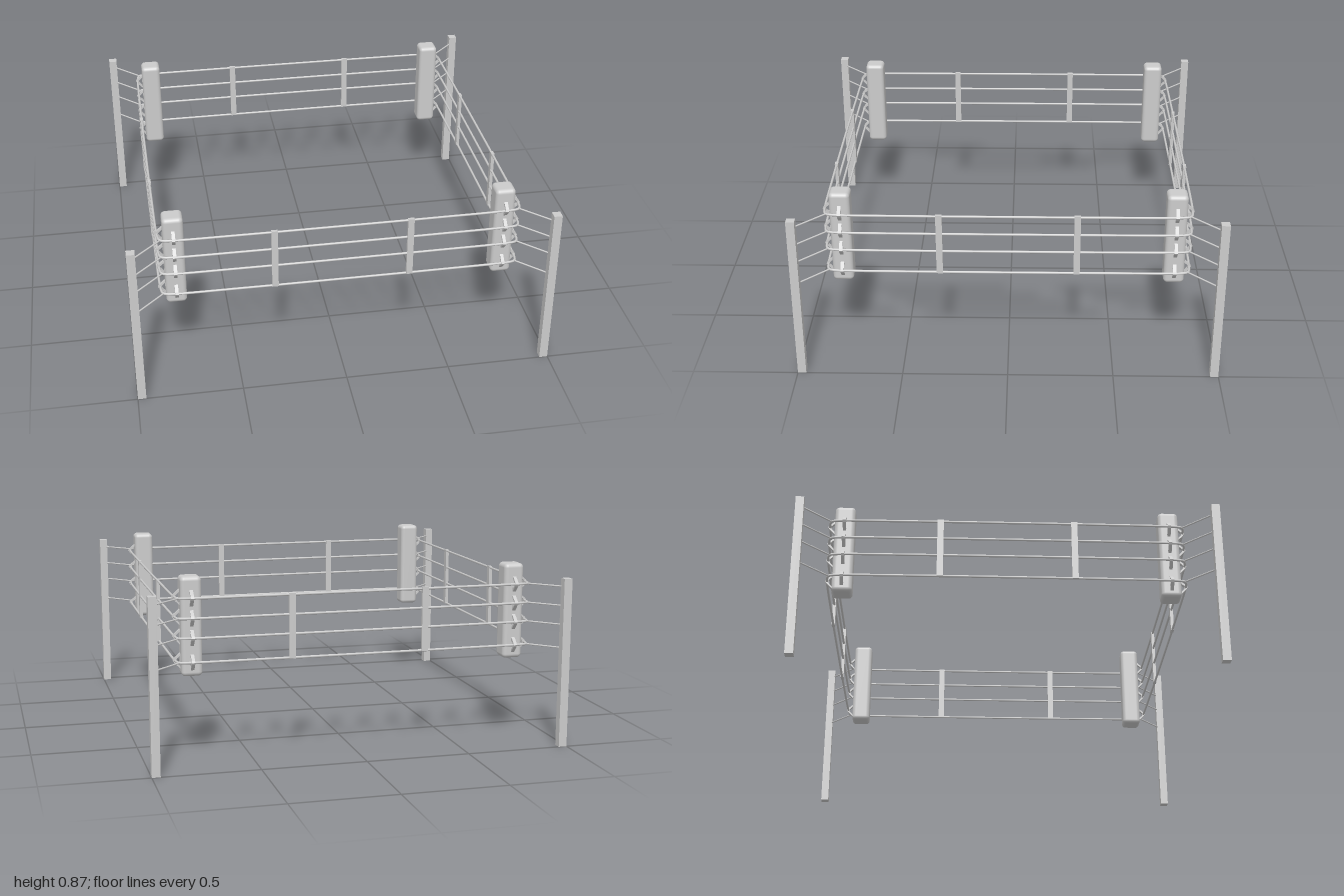
import * as THREE from 'three';
import { RoundedBoxGeometry } from 'three/addons/geometries/RoundedBoxGeometry.js';

const ROPE_HEIGHTS = [0.48, 0.592, 0.683, 0.775];
const POST = 0.98, PAD = 0.78, PAD_WIDTH = 0.097, CORNER = 0.845;

export function createModel() {
  const ring = new THREE.Group();
  ring.name = 'boxingRing';
  const material = new THREE.MeshStandardMaterial({ color: 0xcccccc });

  function add(parent, name, geometry, x = 0, y = 0, z = 0) {
    const mesh = new THREE.Mesh(geometry, material);
    mesh.name = name;
    mesh.position.set(x, y, z);
    parent.add(mesh);
    return mesh;
  }

  // Ropes: closed loops, slightly bowed outward along each side
  const sidePoints = [[-0.835, 0.846], [-0.8, 0.852], [-0.45, 0.857], [0, 0.858], [0.45, 0.857], [0.8, 0.852], [0.835, 0.846]];
  const up = new THREE.Vector3(0, 1, 0);
  const loop = [];
  for (let side = 0; side < 4; side++) {
    for (const [x, z] of sidePoints) {
      loop.push(new THREE.Vector3(x, 0, z).applyAxisAngle(up, side * Math.PI / 2));
    }
  }
  const ropeCurve = new THREE.CatmullRomCurve3(loop, true, 'centripetal');
  const ropeGeometry = new THREE.TubeGeometry(ropeCurve, 400, 0.006, 8, true);
  for (const y of ROPE_HEIGHTS) add(ring, 'rope', ropeGeometry, 0, y, 0);

  // Upright straps tying the four ropes together, two per side
  const strapGeometry = new THREE.BoxGeometry(0.03, 0.305, 0.016);
  for (let side = 0; side < 4; side++) {
    const group = new THREE.Group();
    group.name = 'sideStraps';
    group.rotation.y = side * Math.PI / 2;
    for (const x of [-0.32, 0.32]) add(group, 'ropeStrap', strapGeometry, x, 0.63, 0.858);
    ring.add(group);
  }

  // Triangular loop holding a rope against a pad, pointing along +z
  const outline = new THREE.Shape();
  outline.moveTo(0, 0.036);
  outline.lineTo(0.03, 0.01);
  outline.lineTo(0.036, 0);
  outline.lineTo(0.03, -0.01);
  outline.lineTo(0, -0.042);
  const opening = new THREE.Path();
  opening.moveTo(0.003, 0.022);
  opening.lineTo(0.003, -0.028);
  opening.lineTo(0.02, -0.008);
  opening.lineTo(0.02, 0.006);
  outline.holes.push(opening);
  const tieGeometry = new THREE.ExtrudeGeometry(outline, { depth: 0.016, bevelEnabled: false });
  tieGeometry.translate(0, 0, -0.008);
  tieGeometry.rotateY(-Math.PI / 2);

  // Corners: post, pad, rope ties and tension cables
  const postGeometry = new THREE.BoxGeometry(0.04, 0.815, 0.04);
  const padGeometry = new RoundedBoxGeometry(PAD_WIDTH, 0.46, PAD_WIDTH, 4, 0.02);
  const cableLength = (POST - CORNER) * Math.SQRT2;
  const cableGeometry = new THREE.CylinderGeometry(0.004, 0.004, cableLength, 8);
  cableGeometry.rotateX(Math.PI / 2);
  const cableMid = (POST + CORNER) / 2;
  for (let i = 0; i < 4; i++) {
    const corner = new THREE.Group();
    corner.name = 'corner';
    corner.rotation.y = i * Math.PI / 2;
    add(corner, 'cornerPost', postGeometry, POST, 0.4075, POST);
    add(corner, 'cornerPad', padGeometry, PAD, 0.64, PAD);
    for (const y of ROPE_HEIGHTS) {
      const face = PAD + PAD_WIDTH / 2 - 0.002;
      add(corner, 'padTie', tieGeometry, PAD, y, face);
      add(corner, 'padTie', tieGeometry, face, y, PAD).rotation.y = Math.PI / 2;
      add(corner, 'tensionCable', cableGeometry, cableMid, y, cableMid).rotation.y = Math.PI / 4;
    }
    ring.add(corner);
  }
  return ring;
}
